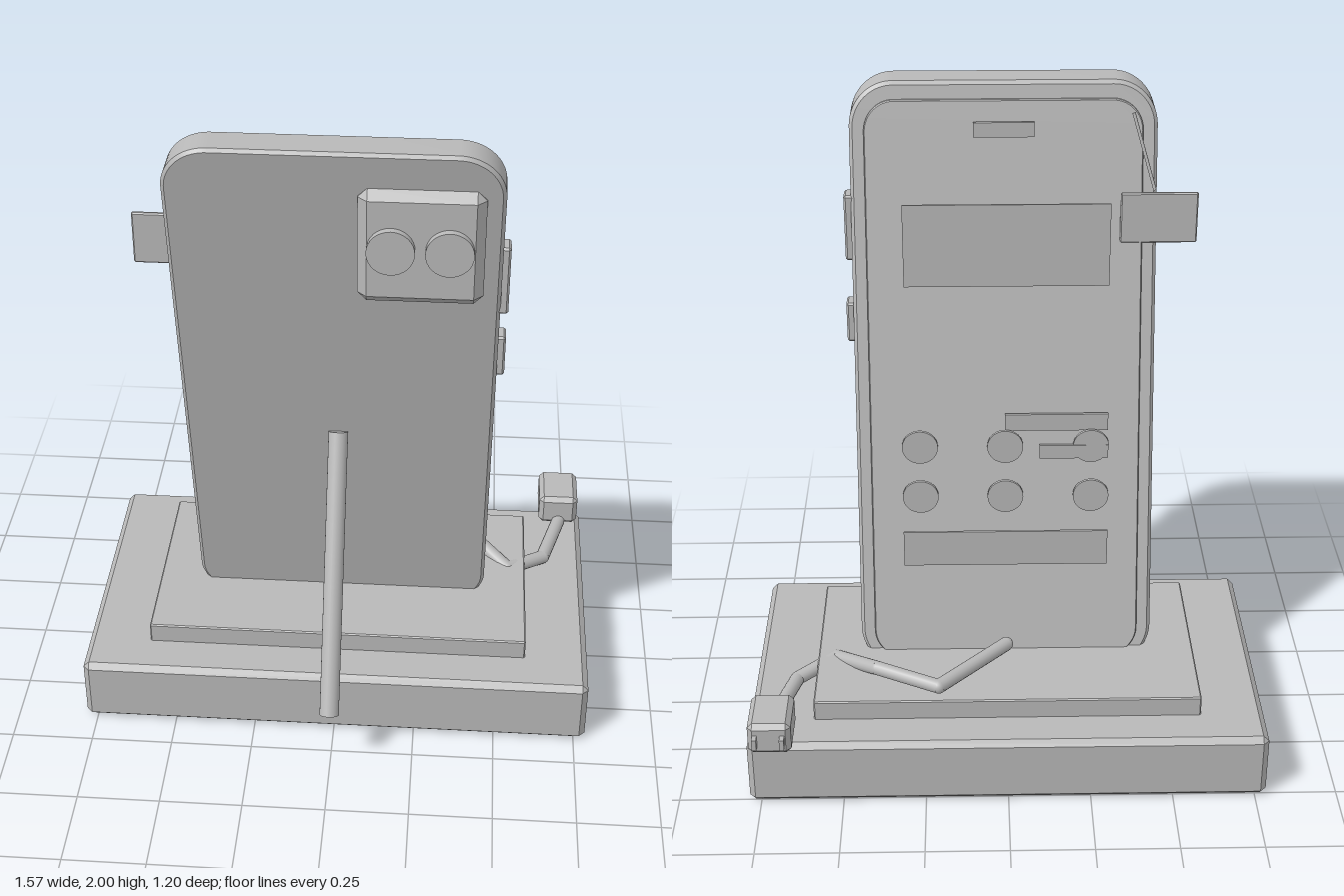
import * as THREE from 'three';
import { toCreasedNormals } from 'three/addons/utils/BufferGeometryUtils.js';
import { ConvexGeometry } from 'three/addons/geometries/ConvexGeometry.js';

const SLOPE = 0.2237; // lean of the phone: z gained per unit of height
const leanZ = (y) => -0.042 + SLOPE * (y - 0.275);

export function createModel() {
  const model = new THREE.Group();
  model.name = 'phoneOnStand';
  const grey = new THREE.MeshStandardMaterial({ color: 0xb8b8b8 });
  grey.name = 'plainGrey';

  const add = (name, geometry, x = 0, y = 0, z = 0) => {
    const mesh = new THREE.Mesh(geometry, grey);
    mesh.name = name;
    mesh.position.set(x, y, z);
    model.add(mesh);
    return mesh;
  };

  // Box from min/max ranges, with chamfered edges when b > 0
  const box = (name, [x0, x1], [y0, y1], [z0, z1], b = 0) => {
    const h = [(x1 - x0) / 2, (y1 - y0) / 2, (z1 - z0) / 2];
    let geometry;
    if (b > 0) {
      const points = [];
      for (const sx of [-1, 1]) for (const sy of [-1, 1]) for (const sz of [-1, 1])
        for (let axis = 0; axis < 3; axis++) {
          const c = h.map((v, i) => (i === axis ? v : v - b));
          points.push(new THREE.Vector3(sx * c[0], sy * c[1], sz * c[2]));
        }
      geometry = new ConvexGeometry(points);
    } else {
      geometry = new THREE.BoxGeometry(h[0] * 2, h[1] * 2, h[2] * 2);
    }
    return add(name, geometry, (x0 + x1) / 2, (y0 + y1) / 2, (z0 + z1) / 2);
  };

  // Cylinder between two points
  const rod = (name, from, to, radius, sides = 24) => {
    const a = new THREE.Vector3(...from), b = new THREE.Vector3(...to);
    const dir = b.clone().sub(a);
    const mid = a.clone().add(b).multiplyScalar(0.5);
    const mesh = add(name, new THREE.CylinderGeometry(radius, radius, dir.length(), sides), mid.x, mid.y, mid.z);
    mesh.quaternion.setFromUnitVectors(new THREE.Vector3(0, 1, 0), dir.normalize());
    return mesh;
  };

  // Rounded slab leaning back; zOff is its centre relative to the phone's centre plane
  const leaningSlab = (name, hw, y0, y1, r, thick, bevel, zOff) => {
    const s = new THREE.Shape();
    s.absarc(hw - r, y1 - r, r, 0, Math.PI / 2);
    s.absarc(-hw + r, y1 - r, r, Math.PI / 2, Math.PI);
    s.absarc(-hw + r, y0 + r, r, Math.PI, Math.PI * 1.5);
    s.absarc(hw - r, y0 + r, r, Math.PI * 1.5, Math.PI * 2);
    const geometry = new THREE.ExtrudeGeometry(s, {
      depth: thick - 2 * bevel, bevelEnabled: bevel > 0, bevelSize: bevel,
      bevelThickness: bevel, bevelOffset: -bevel, bevelSegments: 1, curveSegments: 10,
    });
    geometry.translate(0, 0, -thick / 2 + bevel + zOff);
    geometry.applyMatrix4(new THREE.Matrix4().set(
      1, 0, 0, 0,
      0, 1, 0, 0,
      0, SLOPE, 1, leanZ(0),
      0, 0, 0, 1));
    return add(name, toCreasedNormals(geometry, 0.5));
  };

  // Stand base
  box('base', [-0.785, 0.785], [0, 0.212], [-0.515, 0.4], 0.018);
  box('basePlate', [-0.59, 0.59], [0.2, 0.275], [-0.387, 0.267], 0.004);

  // Phone
  leaningSlab('phoneBody', 0.455, 0.21, 2, 0.13, 0.116, 0.01, 0);
  leaningSlab('screen', 0.412, 0.25, 1.95, 0.09, 0.02, 0.003, -0.058);
  box('volumeButton', [0.44, 0.477], [1.465, 1.672], [0.217, 0.278], 0.006);
  box('powerButton', [0.44, 0.477], [1.225, 1.352], [0.154, 0.216], 0.006);

  // Camera on the back
  box('cameraBlock', [0.065, 0.405], [1.555, 1.892], [0.343, 0.403], 0.026);
  for (const x of [0.155, 0.312]) {
    const lens = add('cameraLens', new THREE.CylinderGeometry(0.065, 0.065, 0.03, 32), x, 1.725, 0.409);
    lens.rotation.x = Math.PI / 2;
  }

  // Upright details in front of the screen
  box('speakerSlot', [-0.09, 0.09], [1.845, 1.89], [0.235, 0.245]);
  box('widgetCard', [-0.315, 0.302], [1.412, 1.672], [0.137, 0.143]);
  box('dock', [-0.315, 0.315], [0.553, 0.672], [-0.056, -0.048]);
  box('textBarLong', [-0.315, 0], [0.975, 1.03], [0.037, 0.047]);
  box('textBarShort', [-0.315, -0.105], [0.89, 0.935], [0.014, 0.024]);
  for (const [y, z] of [[0.93, 0.021], [0.775, -0.012]])
    for (const x of [-0.263, 0, 0.261]) {
      const icon = add('appIcon', new THREE.CylinderGeometry(0.055, 0.055, 0.01, 32), x, y, z);
      icon.rotation.x = Math.PI / 2;
    }

  // Side tag and its thin string
  box('sideTag', [-0.575, -0.345], [1.535, 1.692], [0.17, 0.184], 0.004);
  rod('tagString', [-0.38, 1.92, 0.228], [-0.445, 1.7, 0.177], 0.005, 8);

  // Rear prop
  rod('propLeg', [0, 0.985, 0.182], [0, 0.22, 0.574], 0.029);

  // Charging cable: straight runs with round joints
  const path = [
    [0, 0.305, -0.13], [0.21, 0.305, -0.353], [0.4, 0.303, -0.25],
    [0.535, 0.258, -0.12], [0.652, 0.24, -0.21], [0.708, 0.24, -0.41],
  ];
  path.forEach((p, i) => {
    add('cableJoint', new THREE.SphereGeometry(0.022, 16, 12), ...p);
    if (i > 0) rod('cableRun', path[i - 1], p, 0.022, 16);
  });

  // Plug and prongs
  box('plug', [0.642, 0.77], [0.228, 0.332], [-0.58, -0.41], 0.015);
  for (const x of [0.667, 0.748])
    box('plugProng', [x - 0.007, x + 0.007], [0.262, 0.298], [-0.604, -0.57]);

  return model;
}
